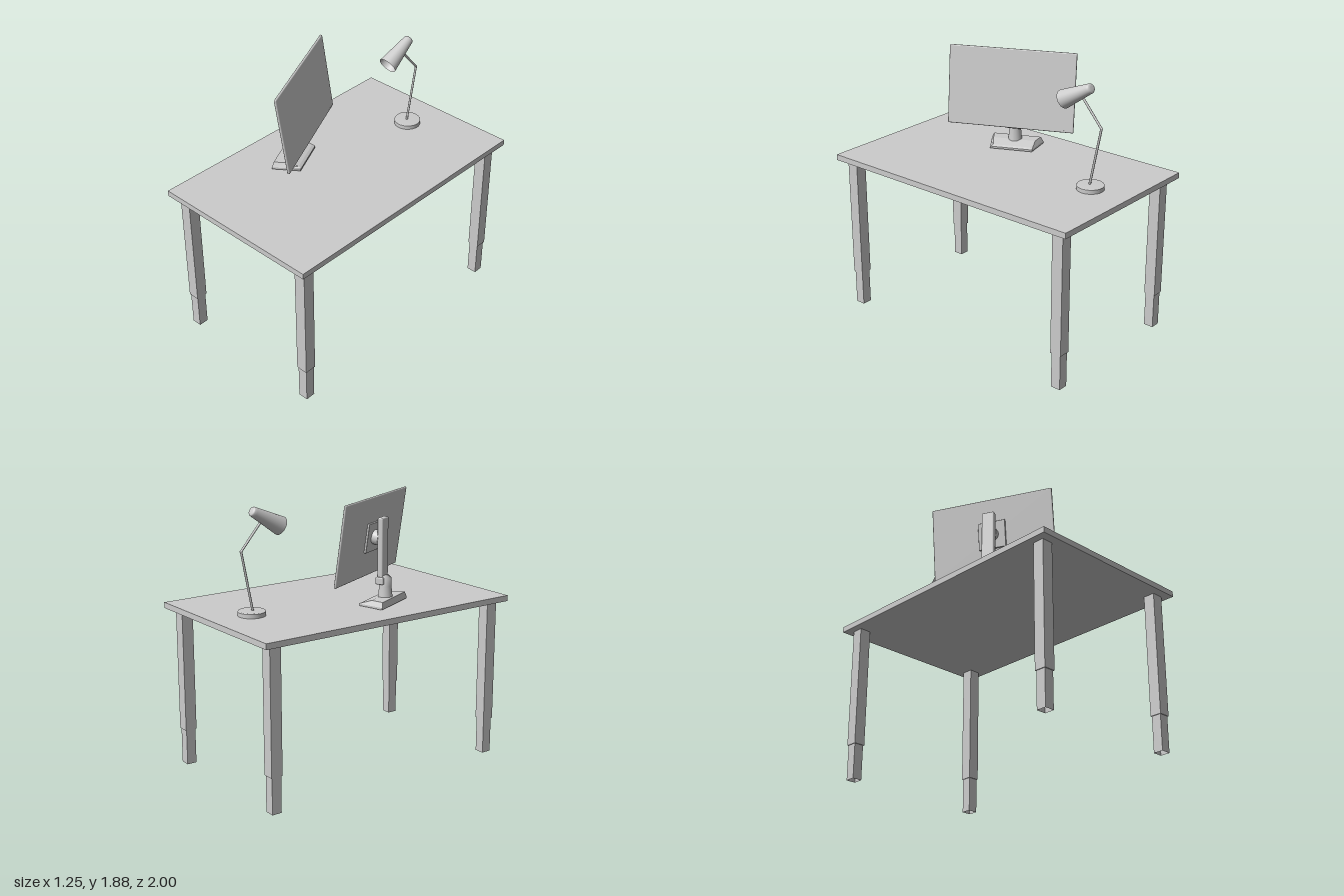
import * as THREE from 'three';
import { RoundedBoxGeometry } from 'three/addons/geometries/RoundedBoxGeometry.js';

const smooth = new THREE.MeshStandardMaterial({ color: 0xcccccc });
const flat = new THREE.MeshStandardMaterial({ color: 0xcccccc, flatShading: true });
const open = new THREE.MeshStandardMaterial({ color: 0xcccccc, side: THREE.DoubleSide });
const openFlat = new THREE.MeshStandardMaterial({ color: 0xcccccc, flatShading: true, side: THREE.DoubleSide });

function add(parent, name, geometry, material, x = 0, y = 0, z = 0) {
  const mesh = new THREE.Mesh(geometry, material);
  mesh.name = name;
  mesh.position.set(x, y, z);
  parent.add(mesh);
  return mesh;
}

function group(parent, name, x = 0, y = 0, z = 0) {
  const g = new THREE.Group();
  g.name = name;
  g.position.set(x, y, z);
  parent.add(g);
  return g;
}

const lathe = (points, sides) =>
  new THREE.LatheGeometry(points.map(([r, y]) => new THREE.Vector2(r, y)), sides);

// Move every vertex of a geometry by a rule
function reshape(geometry, rule) {
  const p = geometry.attributes.position;
  const v = new THREE.Vector3();
  for (let i = 0; i < p.count; i++) {
    rule(v.fromBufferAttribute(p, i));
    p.setXYZ(i, v.x, v.y, v.z);
  }
  geometry.computeVertexNormals();
  return geometry;
}

// Thin rod between two points
function rod(parent, name, a, b, radius) {
  const mesh = add(parent, name, new THREE.CylinderGeometry(radius, radius, a.distanceTo(b), 10), smooth);
  mesh.position.copy(a).lerp(b, 0.5);
  mesh.quaternion.setFromUnitVectors(new THREE.Vector3(0, 1, 0), b.clone().sub(a).normalize());
}

function buildTable(parent) {
  const table = group(parent, 'table');
  add(table, 'tableTop', new THREE.BoxGeometry(1.25, 0.04, 2), flat, 0, 1.13, 0);
  // Hollow square legs: a slimmer foot section slides into a wider sleeve
  const r = Math.SQRT2;
  const leg = lathe([[0.035 * r, 0], [0.035 * r, 0.25], [0.041 * r, 0.25], [0.041 * r, 1.11]], 4);
  leg.rotateY(Math.PI / 4);
  for (const x of [-0.532, 0.532])
    for (const z of [-0.9, 0.9]) add(table, 'leg', leg, openFlat, x, 0, z);
}

function buildMonitor(parent) {
  const monitor = group(parent, 'monitor', -0.31, 1.15, 0.165);
  monitor.rotation.y = 2.01;

  // Foot: narrower and lower towards the front, with sloping sides
  const foot = reshape(new THREE.BoxGeometry(1, 1, 1, 1, 2, 2), (v) => {
    const t = v.z + 0.5;
    const level = v.y + 0.5;
    const inset = level === 1 ? 0.018 : 0;
    const height = t < 0.6 ? 0.047 : 0.024;
    v.x *= 0.376 - 0.076 * t - 2 * inset;
    v.y = 0.01 + (level === 0.5 ? 0.014 : level * height);
    v.z = -0.07 + 0.19 * t - (t > 0.9 ? inset : 0) + (t < 0.1 ? inset * 0.3 : 0);
  });
  add(monitor, 'standFoot', foot, flat);

  // Neck with a slanted top, carrying the collar and upright
  const neck = reshape(lathe([[0.05, 0.04], [0.047, 0.07], [0.041, 0.13], [0.04, 0.2], [0, 0.2]], 28), (v) => {
    if (v.y > 0.19) v.y += v.z * 0.5;
  });
  add(monitor, 'standNeck', neck, open);
  add(monitor, 'standCollar', new RoundedBoxGeometry(0.112, 0.05, 0.058, 2, 0.008), smooth, 0, 0.168, 0.02);
  add(monitor, 'standUpright', new RoundedBoxGeometry(0.09, 0.445, 0.04, 2, 0.008), smooth, 0, 0.368, 0.022);

  // Tilted screen with its mounting plate and pivot
  const head = group(monitor, 'screenAssembly', 0, 0.457, 0.1075);
  head.rotation.x = -0.14;
  add(head, 'screen', new RoundedBoxGeometry(0.895, 0.55, 0.018, 2, 0.008), smooth);
  add(head, 'mountPlate', new RoundedBoxGeometry(0.2, 0.2, 0.016, 2, 0.004), smooth, 0, 0, -0.016);
  const pivot = add(head, 'mountPivot', new THREE.CylinderGeometry(0.05, 0.05, 0.05, 24), smooth, 0, 0, -0.045);
  pivot.rotation.x = Math.PI / 2;
  for (let i = 0; i < 3; i++)
    add(head, 'screenButton', new THREE.BoxGeometry(0.012, 0.004, 0.002), flat, 0.36 + i * 0.024, -0.262, 0.0095);
}

function buildLamp(parent) {
  const lamp = group(parent, 'lamp', -0.018, 0, 0);
  const base = lathe([[0, 1.15], [0.092, 1.15], [0.092, 1.15], [0.092, 1.178], [0.092, 1.178], [0.088, 1.183], [0, 1.183]], 36);
  add(lamp, 'lampBase', base, smooth, 0, 0, -0.71);

  // Bent stem
  const foot = new THREE.Vector3(0, 1.18, -0.703);
  const elbow = new THREE.Vector3(0, 1.58, -0.782);
  const tip = new THREE.Vector3(0, 1.755, -0.63);
  rod(lamp, 'lowerStem', foot, elbow, 0.008);
  rod(lamp, 'upperStem', elbow, tip, 0.008);
  add(lamp, 'stemElbow', new THREE.SphereGeometry(0.009, 12, 8), smooth, 0, 1.58, -0.782);

  // Shade open at its wide end, with a small cap behind and a bulb inside
  const shade = group(lamp, 'lampShade', 0, 1.713, -0.478);
  shade.rotation.x = -1.07;
  add(shade, 'shadeCone', lathe([[0.064, 0], [0.035, 0.225]], 32), open);
  add(shade, 'shadeCap', lathe([[0.035, 0.225], [0.033, 0.242], [0.027, 0.25], [0.012, 0.251], [0, 0.251]], 32), open);
  add(shade, 'bulb', new THREE.SphereGeometry(0.034, 20, 14), smooth, 0, 0.07, 0);
  add(shade, 'bulbSocket', new THREE.CylinderGeometry(0.018, 0.018, 0.13, 16), smooth, 0, 0.155, 0);
}

export function createModel() {
  const model = new THREE.Group();
  model.name = 'deskWithMonitorAndLamp';
  buildTable(model);
  buildMonitor(model);
  buildLamp(model);
  return model;
}
